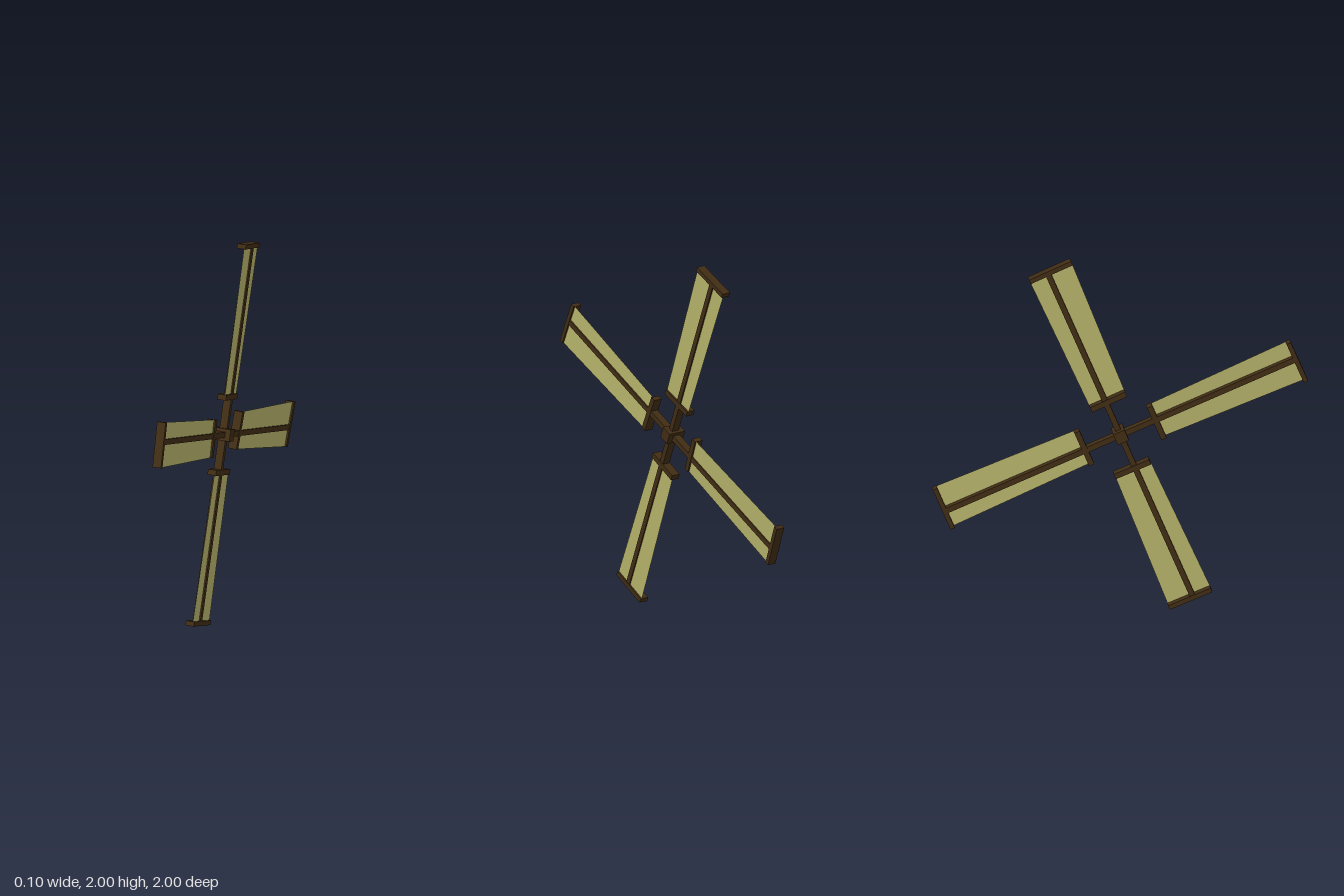
import * as THREE from 'three';

const wood = new THREE.MeshStandardMaterial({ color: 0x402c14 });
const cloth = new THREE.MeshStandardMaterial({ color: 0xb5b26a, side: THREE.DoubleSide });

// Box spanning the given x, y and z ranges
function beam(name, [x0, x1], [y0, y1], [z0, z1]) {
  const mesh = new THREE.Mesh(new THREE.BoxGeometry(x1 - x0, y1 - y0, z1 - z0), wood);
  mesh.position.set((x0 + x1) / 2, (y0 + y1) / 2, (z0 + z1) / 2);
  mesh.name = name;
  return mesh;
}

// One blade pointing along +y, with its sail facing x
function createBlade() {
  const blade = new THREE.Group();
  blade.name = 'blade';
  blade.add(beam('spar', [-0.02, 0.022], [0.02, 1.005], [-0.015, 0.015]));

  // Crossbars, slightly pitched about the spar
  const frame = new THREE.Group();
  frame.name = 'sailFrame';
  frame.rotation.y = THREE.MathUtils.degToRad(2);
  frame.add(beam('innerCrossbar', [-0.024, 0.024], [0.188, 0.218], [-0.087, 0.116]));
  frame.add(beam('outerCrossbar', [-0.024, 0.024], [1.0, 1.025], [-0.105, 0.139]));

  // Tapered sail stretched between the crossbars
  const outline = new THREE.Shape([
    new THREE.Vector2(0.087, 0.2), new THREE.Vector2(0.105, 1.01),
    new THREE.Vector2(-0.139, 1.01), new THREE.Vector2(-0.116, 0.2),
  ]);
  const sail = new THREE.Mesh(new THREE.ShapeGeometry(outline).rotateY(Math.PI / 2), cloth);
  sail.position.x = 0.015;
  sail.name = 'sail';
  frame.add(sail);
  blade.add(frame);
  return blade;
}

export function createModel() {
  const model = new THREE.Group();
  model.name = 'windmillRotor';
  const rotor = new THREE.Group();
  rotor.name = 'rotor';
  rotor.position.y = 1;
  rotor.rotation.x = THREE.MathUtils.degToRad(-22.5);

  rotor.add(beam('hub', [-0.05, 0.05], [-0.0325, 0.0325], [-0.0325, 0.0325]));
  for (let i = 0; i < 4; i++) {
    const blade = createBlade();
    blade.rotation.x = (i * Math.PI) / 2;
    rotor.add(blade);
  }
  model.add(rotor);
  return model;
}
